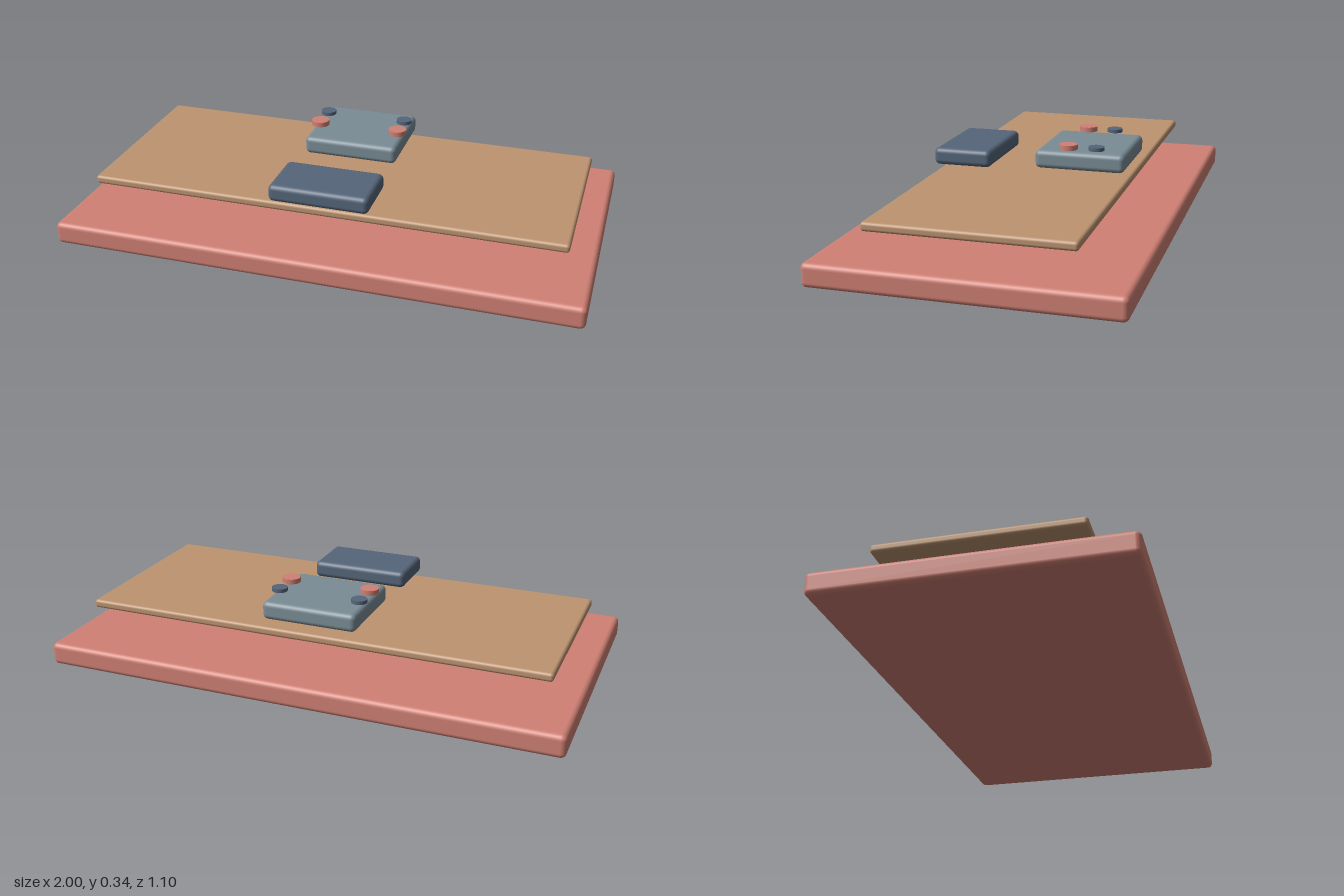
import * as THREE from 'three';
import { RoundedBoxGeometry } from 'three/addons/geometries/RoundedBoxGeometry.js';

function material(name, color) {
  const m = new THREE.MeshStandardMaterial({ color });
  m.name = name;
  return m;
}

export function createModel() {
  const group = new THREE.Group();
  const coral = material('coral', 0xd08074);
  const tan = material('tan', 0xbd9470);
  const slate = material('slate grey', 0x7a8c96);
  const navy = material('navy', 0x55667a);

  const add = (name, geometry, mat, x, y, z) => {
    const mesh = new THREE.Mesh(geometry, mat);
    mesh.name = name;
    mesh.position.set(x, y, z);
    group.add(mesh);
  };

  // Soft-edged slab spanning y0 to y1
  const slab = (name, w, d, y0, y1, z, r, mat) =>
    add(name, new RoundedBoxGeometry(w, y1 - y0, d, 4, r), mat, 0, (y0 + y1) / 2, z);

  // Stacked, floating layers
  slab('basePad', 2, 1.1, 0, 0.087, 0, 0.02, coral);
  slab('board', 1.82, 0.74, 0.183, 0.216, 0, 0.012, tan);
  slab('rearBlock', 0.37, 0.344, 0.24, 0.31, -0.184, 0.02, slate);
  slab('frontBlock', 0.384, 0.228, 0.227, 0.293, 0.278, 0.02, navy);

  // Mirrored pairs of discs above the rear block
  const largeDisc = new THREE.CylinderGeometry(0.035, 0.035, 0.019, 32);
  const smallDisc = new THREE.CylinderGeometry(0.03, 0.03, 0.014, 32);
  for (const [side, s] of [['left', 1], ['right', -1]]) {
    add(side + 'LargeDisc', largeDisc, coral, s * 0.16, 0.3275, -0.138);
    add(side + 'SmallDisc', smallDisc, navy, s * 0.16, 0.327, -0.246);
  }
  return group;
}
